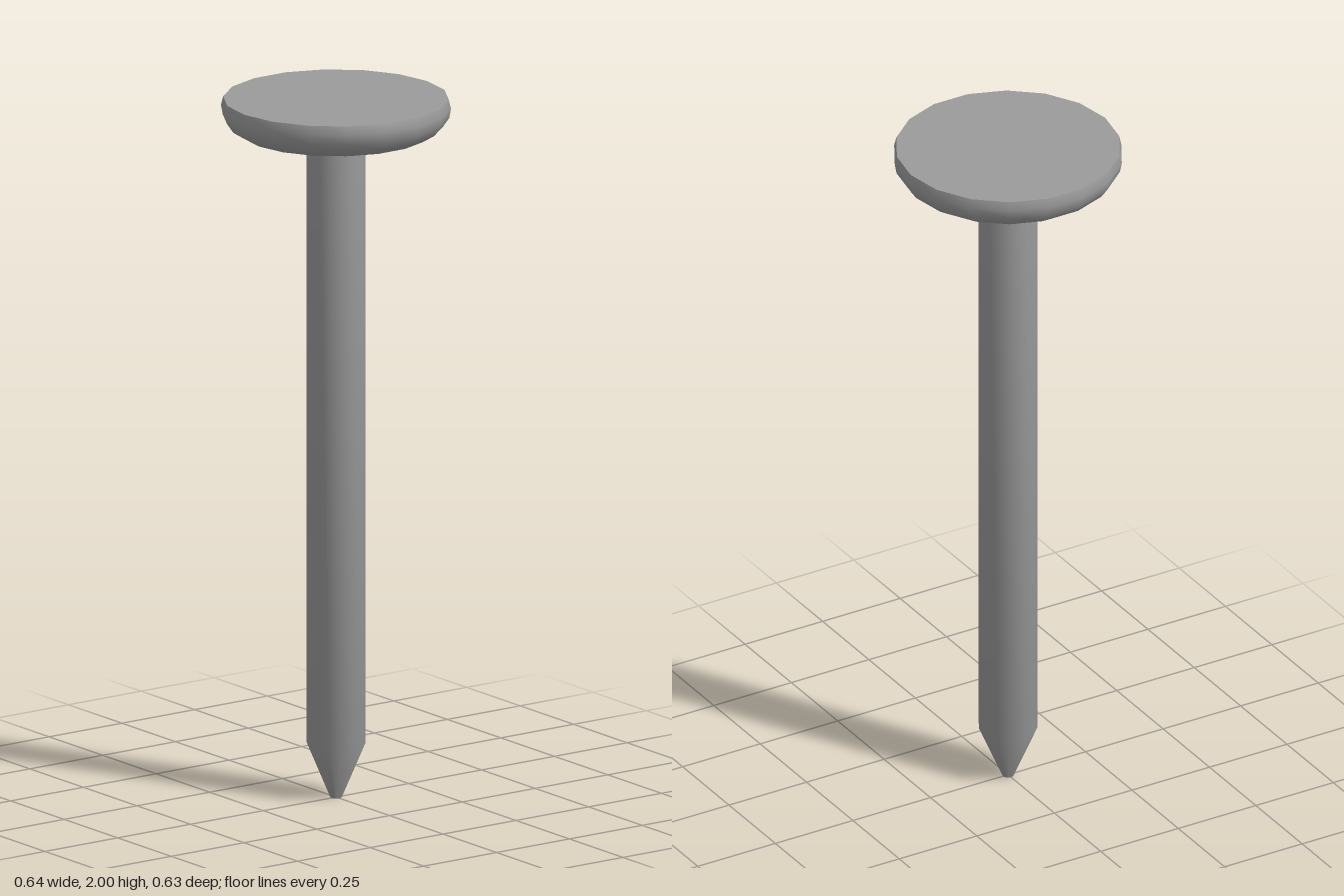
import * as THREE from 'three';
import { toCreasedNormals } from 'three/addons/utils/BufferGeometryUtils.js';

const SIDES = 18;
const material = new THREE.MeshStandardMaterial({ color: 0x9b9b9b });

// Turned part from [radius, height] points, listed bottom to top, with a corner on the x axis
function turned(name, profile) {
  const points = profile.map(([r, y]) => new THREE.Vector2(r, y));
  const lathe = new THREE.LatheGeometry(points, SIDES, Math.PI / 2);
  const mesh = new THREE.Mesh(toCreasedNormals(lathe, THREE.MathUtils.degToRad(50)), material);
  mesh.name = name;
  return mesh;
}

export function createModel() {
  const nail = new THREE.Group();
  nail.name = 'nail';

  // Straight shank tapering to a small blunt point
  nail.add(turned('shank', [[0, 0], [0.016, 0], [0.082, 0.157], [0.082, 1.91]]));

  // Flat-topped head with a rounded rim
  nail.add(turned('head', [
    [0, 1.902], [0.264, 1.902], [0.296, 1.922], [0.314, 1.948],
    [0.319, 1.975], [0.313, 2], [0, 2],
  ]));

  return nail;
}
